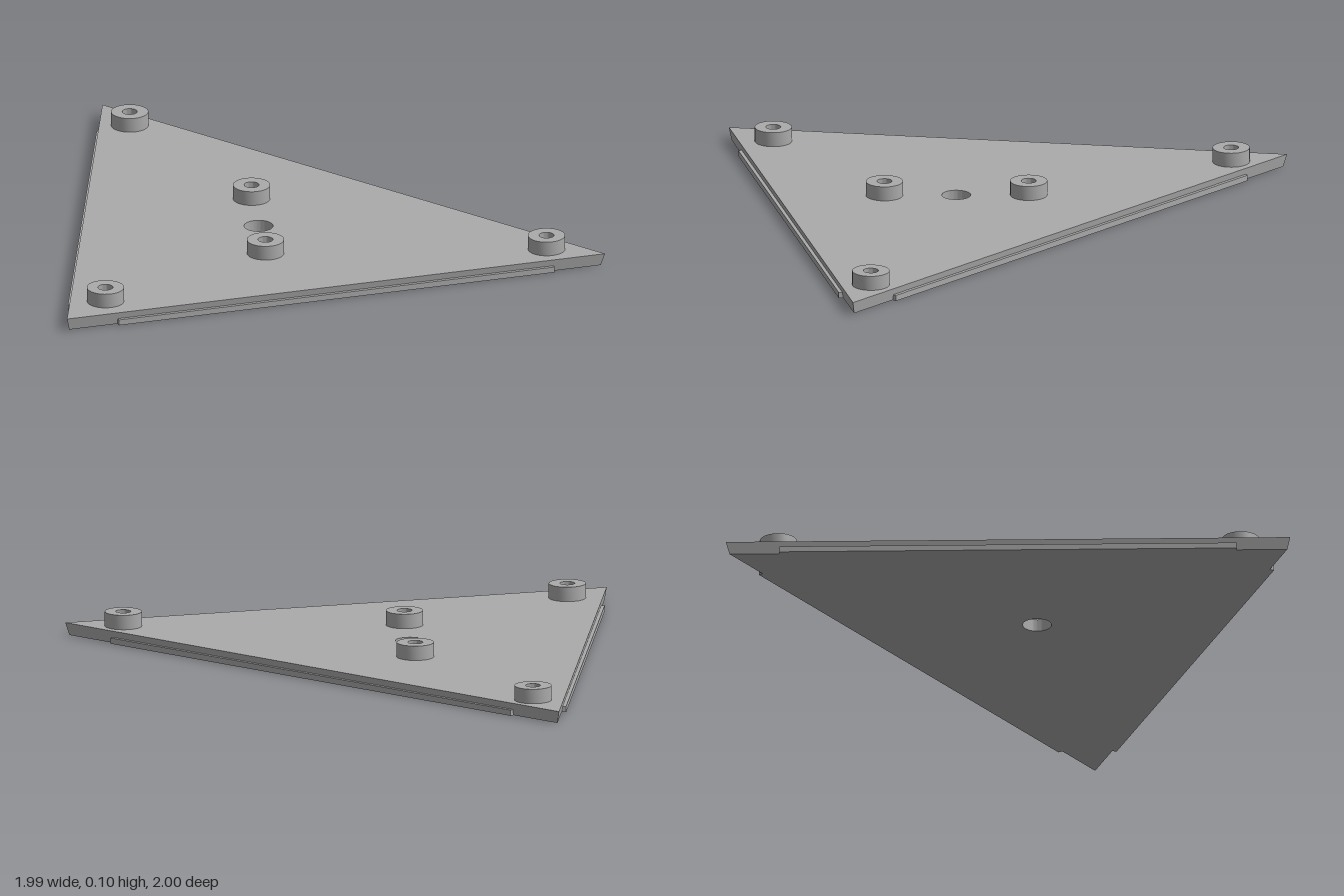
import * as THREE from 'three';
import { toCreasedNormals } from 'three/addons/utils/BufferGeometryUtils.js';

const PLATE_TOP = 0.045;
const STUD_TOP = 0.098;
const V = (x, z) => new THREE.Vector2(x, z);

// Triangle corners (x, z), its incentre and the through hole
const back = V(-0.64, -1), right = V(0.99, 0.605), left = V(-1, 0.995);
const incentre = V(-0.25, 0.23);
const hole = V(-0.215, 0.2), holeRadius = 0.052;

export function createModel() {
  const model = new THREE.Group();
  const grey = new THREE.MeshStandardMaterial({ color: 0xaaaaaa });
  grey.name = 'grey';

  const add = (name, geometry) => {
    const mesh = new THREE.Mesh(geometry, grey);
    mesh.name = name;
    model.add(mesh);
    return mesh;
  };

  // Triangular plate with a hole, drawn in at the bottom edge
  const shape = new THREE.Shape([left, right, back].map((p) => V(p.x, -p.y)));
  const opening = new THREE.Path();
  opening.absarc(hole.x, -hole.y, holeRadius, 0, Math.PI * 2, true);
  shape.holes.push(opening);
  const plate = new THREE.ExtrudeGeometry(shape, { depth: PLATE_TOP, bevelEnabled: false, curveSegments: 32 });
  plate.rotateX(-Math.PI / 2);
  const pos = plate.attributes.position;
  for (let i = 0; i < pos.count; i++) {
    const p = V(pos.getX(i), pos.getZ(i));
    if (pos.getY(i) < 0.01 && p.distanceTo(hole) > 0.2) {
      p.sub(incentre).multiplyScalar(0.988).add(incentre);
      pos.setX(i, p.x);
      pos.setZ(i, p.y);
    }
  }
  add('plate', toCreasedNormals(plate, 0.5));

  // Thin lips low along the middle of each edge
  const lipOut = 0.009, lipIn = 0.03, lipHeight = 0.021;
  [['frontLip', left, right], ['rightLip', right, back], ['leftLip', back, left]].forEach(([name, a, b]) => {
    const dir = b.clone().sub(a);
    const length = dir.length();
    dir.normalize();
    const lip = add(name, new THREE.BoxGeometry(length * 0.81, lipHeight, lipOut + lipIn));
    const out = V(-dir.y, dir.x);
    const mid = a.clone().add(b).multiplyScalar(0.5).addScaledVector(out, (lipOut - lipIn) / 2);
    lip.position.set(mid.x, lipHeight / 2, mid.y);
    lip.rotation.y = -Math.atan2(dir.y, dir.x);
  });

  // Hollow round studs
  const r = 0.067, bore = 0.027;
  const profile = [V(r, PLATE_TOP), V(r, STUD_TOP), V(bore, STUD_TOP), V(bore, PLATE_TOP)];
  const stud = toCreasedNormals(new THREE.LatheGeometry(profile, 32), 0.5);
  [[-0.565, -0.797], [-0.21, -0.06], [-0.22, 0.458], [0.787, 0.535], [-0.843, 0.84]].forEach(([x, z], i) => {
    add('stud' + (i + 1), stud).position.set(x, 0, z);
  });

  return model;
}
